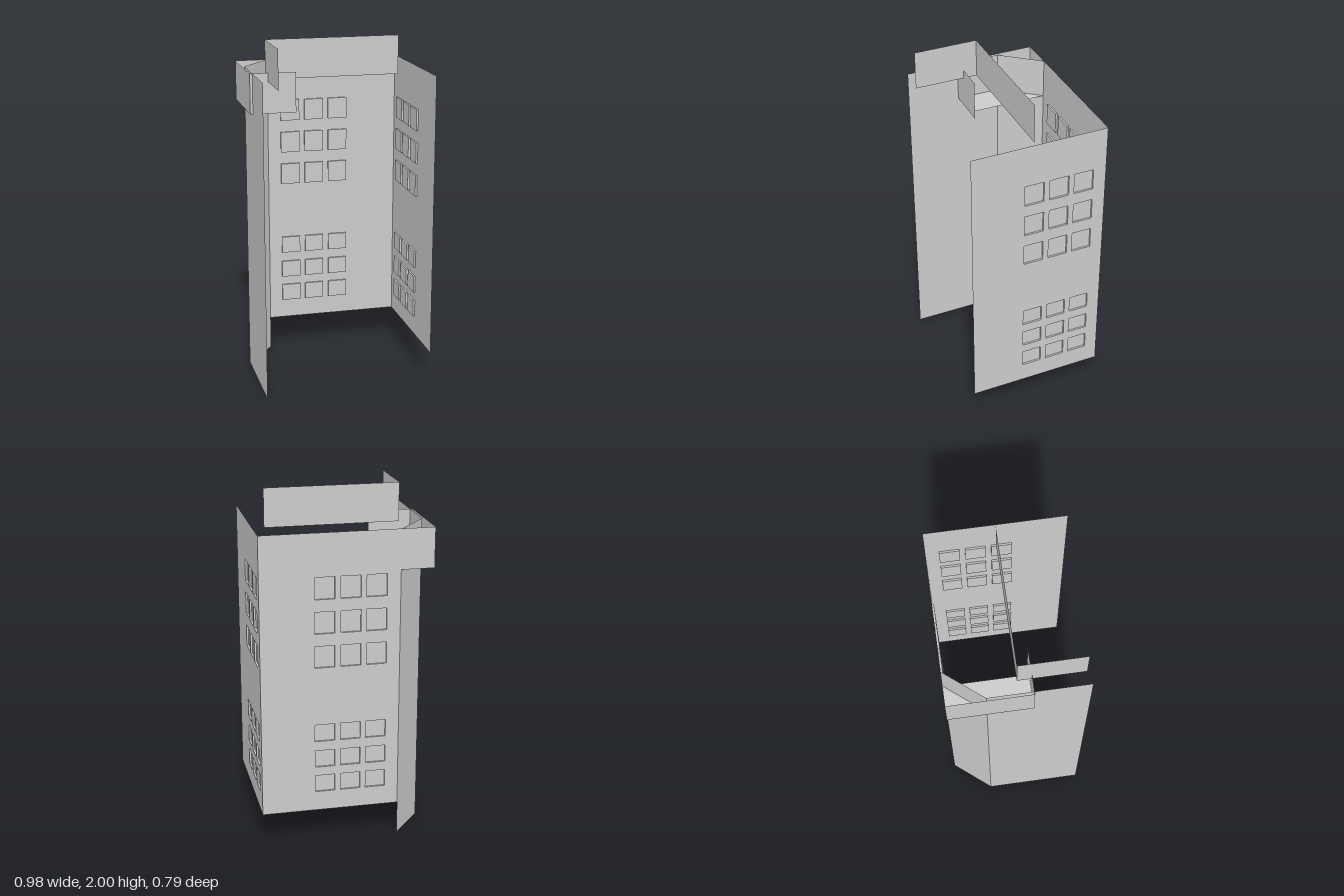
import * as THREE from 'three';

const material = new THREE.MeshStandardMaterial({ color: 0xcccccc, side: THREE.DoubleSide, flatShading: true });
const TOP = 1.825, BASE = 0.195, LEDGE = 1.595, RECESS = 0.011;

function addMesh(parent, name, geometry) {
  const mesh = new THREE.Mesh(geometry, material);
  mesh.name = name;
  parent.add(mesh);
  return mesh;
}

// Upright flat panel between two plan points [x, z]
function panel(parent, name, [x0, z0], [x1, z1], y0, y1) {
  const mesh = addMesh(parent, name, new THREE.PlaneGeometry(Math.hypot(x1 - x0, z1 - z0), y1 - y0));
  mesh.position.set((x0 + x1) / 2, (y0 + y1) / 2, (z0 + z1) / 2);
  mesh.rotation.y = -Math.atan2(z1 - z0, x1 - x0);
}

// Wall in its own plane, outside facing local +z, with shallow window recesses
function windowWall(name, outline, columns) {
  const wall = new THREE.Group();
  wall.name = name;
  const shape = new THREE.Shape(outline.map(([u, v]) => new THREE.Vector2(u, v)));
  const rows = [[0.31, 0.1], [0.463, 0.1], [0.62, 0.1], [1.06, 0.125], [1.257, 0.125], [1.453, 0.125]];
  const w = 0.114;
  for (const u of columns) {
    for (const [v, h] of rows) {
      shape.holes.push(new THREE.Path([[u, v], [u, v + h], [u + w, v + h], [u + w, v]].map(p => new THREE.Vector2(...p))));
      const cx = u + w / 2, cy = v + h / 2;
      addMesh(wall, 'windowPane', new THREE.PlaneGeometry(w, h)).position.set(cx, cy, -RECESS);
      for (const side of [-1, 1]) {
        const jamb = addMesh(wall, 'windowJamb', new THREE.PlaneGeometry(RECESS, h));
        jamb.position.set(cx + side * w / 2, cy, -RECESS / 2);
        jamb.rotation.y = -side * Math.PI / 2;
        const sill = addMesh(wall, 'windowSill', new THREE.PlaneGeometry(w, RECESS));
        sill.position.set(cx, cy + side * h / 2, -RECESS / 2);
        sill.rotation.x = side * Math.PI / 2;
      }
    }
  }
  addMesh(wall, name + 'Face', new THREE.ShapeGeometry(shape));
  return wall;
}

export function createModel() {
  const building = new THREE.Group();
  building.name = 'building';

  // Back wall, with its upper band running on over the cut corner
  const back = windowWall('backWall',
    [[-0.49, BASE], [0.30, BASE], [0.30, LEDGE], [0.49, LEDGE], [0.49, TOP], [-0.49, TOP]],
    [-0.184, -0.037, 0.109]);
  back.rotation.y = Math.PI;
  back.position.z = -0.395;
  building.add(back);

  // Left side wall
  const side = windowWall('leftWall',
    [[-0.395, BASE], [0.395, BASE], [0.395, TOP], [-0.395, TOP]],
    [-0.087, 0.06, 0.206]);
  side.rotation.y = Math.PI / 2;
  side.position.x = 0.49;
  building.add(side);

  // Right side wall and slanted corner
  panel(building, 'rightWall', [-0.475, 0.375], [-0.475, -0.18], 0, TOP);
  panel(building, 'slantedCorner', [-0.475, -0.18], [-0.30, -0.395], 0, TOP);

  // Overhanging box at the corner
  panel(building, 'overhangSide', [-0.49, -0.395], [-0.49, 0.07], LEDGE, TOP);
  panel(building, 'overhangFront', [-0.49, 0.07], [-0.227, 0.07], LEDGE, TOP);
  const soffit = addMesh(building, 'overhangSoffit', new THREE.PlaneGeometry(0.19, 0.465));
  soffit.rotation.x = Math.PI / 2;
  soffit.position.set(-0.395, LEDGE, -0.1625);

  // Raised roof parapet
  panel(building, 'parapetBack', [-0.387, -0.01], [0.393, -0.01], 1.775, 2);
  panel(building, 'parapetSide', [-0.387, -0.01], [-0.387, 0.36], 1.775, 2);

  return building;
}
